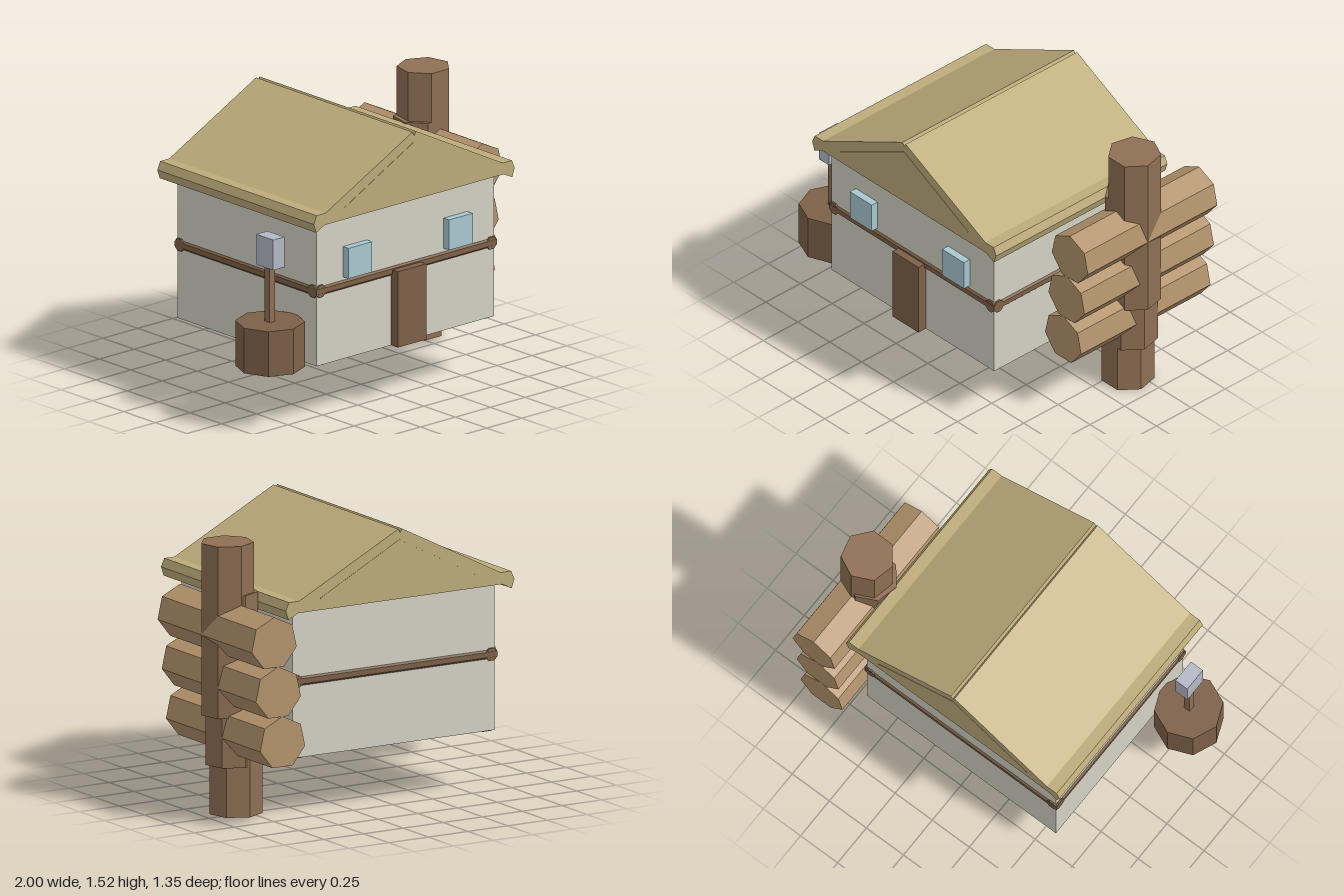
import * as THREE from 'three';

const mat = (color) => new THREE.MeshStandardMaterial({ color, flatShading: true });

export function createModel() {
  const model = new THREE.Group();
  const wall = mat(0xd4d1c4), straw = mat(0xbcab7a), bark = mat(0x8f6f54);
  const timber = mat(0xb3936c), plank = mat(0x7d6148), glass = mat(0xa9c8d1), metal = mat(0xb4b8c6);

  const add = (name, geometry, material, x, y, z) => {
    const mesh = new THREE.Mesh(geometry, material);
    mesh.name = name;
    mesh.position.set(x, y, z);
    model.add(mesh);
    return mesh;
  };
  // Box given by its lower and upper corners
  const box = (name, material, [x0, y0, z0], [x1, y1, z1]) =>
    add(name, new THREE.BoxGeometry(x1 - x0, y1 - y0, z1 - z0), material,
      (x0 + x1) / 2, (y0 + y1) / 2, (z0 + z1) / 2);

  // House body, door and windows
  box('walls', wall, [-0.64, 0.33, -0.5], [0.633, 1.15, 0.606]);
  box('door', plank, [-0.105, 0.33, 0.6], [0.098, 0.755, 0.66]);
  for (const x of [-0.365, 0.357])
    box('window', glass, [x - 0.085, 0.79, 0.6], [x + 0.085, 0.96, 0.649]);

  // Roof: closed gable profile with flared eaves and a notch along the ridge
  const half = [[0.012, 1.522], [0.635, 1.205], [0.7, 1.205], [0.72, 1.16], [0.703, 1.11], [0.642, 1.14]];
  const profile = [[0, 1.5], ...half, ...half.map(([x, y]) => [-x, y]).reverse()];
  const roofShape = new THREE.Shape(profile.map(([x, y]) => new THREE.Vector2(x, y)));
  add('roof', new THREE.ExtrudeGeometry(roofShape, { depth: 1.245, bevelEnabled: false }), straw, 0, 0, -0.572);

  // Thin raised line following each gable
  const trim = new THREE.Shape([[-0.5, 1.2], [0, 1.46], [0.5, 1.2], [0.5, 1.207], [0, 1.467], [-0.5, 1.207]]
    .map(([x, y]) => new THREE.Vector2(x, y)));
  for (const z of [-0.574, 0.671])
    add('gableTrim', new THREE.ExtrudeGeometry(trim, { depth: 0.004, bevelEnabled: false }), straw, 0, 0, z);

  // Rail logs around the walls
  const rail = (length) => new THREE.CylinderGeometry(0.037, 0.037, length, 8).rotateY(Math.PI / 8);
  for (const z of [-0.476, 0.582])
    add('rail', rail(1.295).rotateZ(Math.PI / 2), plank, -0.0035, 0.747, z);
  for (const x of [-0.616, 0.609])
    add('rail', rail(1.125).rotateX(Math.PI / 2), plank, x, 0.747, 0.053);

  // Corner posts, showing only under the floor
  for (const x of [-0.6, 0.593])
    for (const z of [-0.46, 0.566])
      box('cornerPost', plank, [x - 0.03, 0.325, z - 0.03], [x + 0.03, 0.75, z + 0.03]);

  // Stump with a mailbox on a post
  add('stump', new THREE.CylinderGeometry(0.186, 0.186, 0.253, 8), plank, -0.814, 0.4535, 0.43);
  box('mailboxPost', bark, [-0.835, 0.57, 0.41], [-0.798, 0.9, 0.45]);
  box('mailbox', metal, [-0.855, 0.89, 0.365], [-0.775, 1.06, 0.5]);

  // Stepped stack: three upright logs, each crossed by a level log
  for (let i = 0; i < 3; i++) {
    const x = 0.805 + i * 0.0265;
    const log = () => new THREE.CylinderGeometry(0.145, 0.145, 0.94, 7);
    add('uprightLog', log().rotateY(Math.PI), bark, x, 0.47 + i * 0.2735, -0.203);
    add('levelLog', log().rotateX(-Math.PI / 2), timber, x, 0.471 + i * 0.274, -0.205);
  }
  return model;
}
